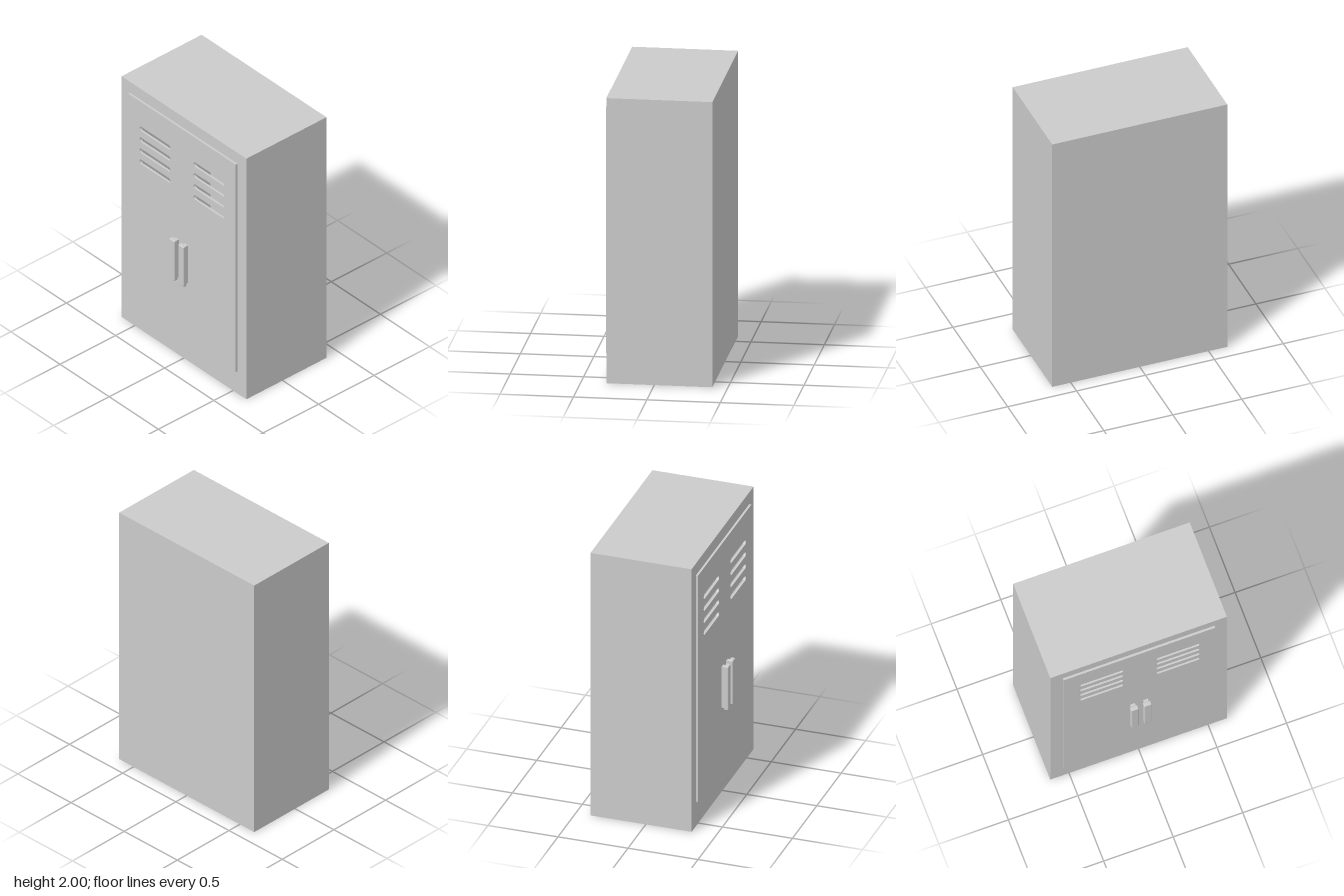
import * as THREE from 'three';
import { RoundedBoxGeometry } from 'three/addons/geometries/RoundedBoxGeometry.js';

const W = 0.635, H = 2, FRONT = 0.327, BACK = -0.395; // outer shell
const DW = 0.545, D0 = 0.185, D1 = 1.91, DT = 0.016;  // door opening and door thickness
const DEPTH = FRONT - BACK, MID = (FRONT + BACK) / 2;

const solid = new THREE.MeshStandardMaterial({ color: 0xcccccc });
const sheet = new THREE.MeshStandardMaterial({ color: 0xcccccc, side: THREE.DoubleSide });

function add(parent, name, geometry, material, x = 0, y = 0, z = 0) {
  const mesh = new THREE.Mesh(geometry, material);
  mesh.name = name;
  mesh.position.set(x, y, z);
  parent.add(mesh);
  return mesh;
}

// Counter-clockwise rectangle, usable as outline or hole
function rectangle(Kind, x0, y0, x1, y1) {
  return new Kind([[x0, y0], [x1, y0], [x1, y1], [x0, y1]].map(p => new THREE.Vector2(...p)));
}

// Horizontal slot with round ends
function slot(x0, x1, y, r) {
  const path = new THREE.Path();
  path.absarc(x1 - r, y, r, -Math.PI / 2, Math.PI / 2);
  path.absarc(x0 + r, y, r, Math.PI / 2, Math.PI * 1.5);
  path.closePath();
  return path;
}

// Upright sheet facing sideways, and level sheet facing up
function sideSheet(parent, name, x, y0, y1) {
  const mesh = add(parent, name, new THREE.PlaneGeometry(DEPTH, y1 - y0), sheet, x, (y0 + y1) / 2, MID);
  mesh.rotation.y = Math.sign(x) * Math.PI / 2;
}
function levelSheet(parent, name, halfWidth, y, up) {
  const mesh = add(parent, name, new THREE.PlaneGeometry(halfWidth * 2, DEPTH), sheet, 0, y, MID);
  mesh.rotation.x = -up * Math.PI / 2;
}

function createModel() {
  const model = new THREE.Group();
  model.name = 'cabinet';

  // Outer shell, open underneath
  const shell = new THREE.Group();
  shell.name = 'shell';
  model.add(shell);
  const frame = rectangle(THREE.Shape, -W, 0, W, H);
  frame.holes.push(rectangle(THREE.Path, -DW, D0, DW, D1));
  add(shell, 'frontFrame', new THREE.ShapeGeometry(frame), sheet, 0, 0, FRONT);
  add(shell, 'backPanel', new THREE.PlaneGeometry(W * 2, H), sheet, 0, H / 2, BACK).rotation.y = Math.PI;
  levelSheet(shell, 'topPanel', W, H, 1);

  // Hollow compartment behind the doors
  const inside = new THREE.Group();
  inside.name = 'compartment';
  model.add(inside);
  levelSheet(inside, 'compartmentFloor', DW, D0, -1);
  levelSheet(inside, 'compartmentCeiling', DW, D1, 1);

  for (const side of [-1, 1]) {
    const label = side > 0 ? 'left' : 'right';
    sideSheet(shell, label + 'SidePanel', side * W, 0, H);
    sideSheet(inside, label + 'CompartmentWall', side * DW, D0, D1);

    // Door with four vent slots
    const span = (a, b) => (side > 0 ? [a, b] : [-b, -a]);
    const [x0, x1] = span(0, DW);
    const door = rectangle(THREE.Shape, x0, D0, x1, D1);
    for (let i = 0; i < 4; i++) {
      door.holes.push(slot(...span(0.117, 0.432), 1.687 - i * 0.0913, 0.0185));
    }
    const doorGeometry = new THREE.ExtrudeGeometry(door, { depth: DT, bevelEnabled: false, curveSegments: 8 });
    add(model, label + 'Door', doorGeometry, solid, 0, 0, FRONT);

    // Handle: rounded bar on a narrow stem
    const handle = new THREE.Group();
    handle.name = label + 'Handle';
    handle.position.set(side > 0 ? 0.044 : -0.049, 0.822, FRONT + DT);
    add(handle, 'handleStem', new THREE.BoxGeometry(0.034, 0.31, 0.022), solid, 0, 0, 0.011);
    add(handle, 'handleBar', new RoundedBoxGeometry(0.055, 0.333, 0.033, 2, 0.007), solid, 0, 0, 0.0355);
    model.add(handle);
  }
  return model;
}

export { createModel };
